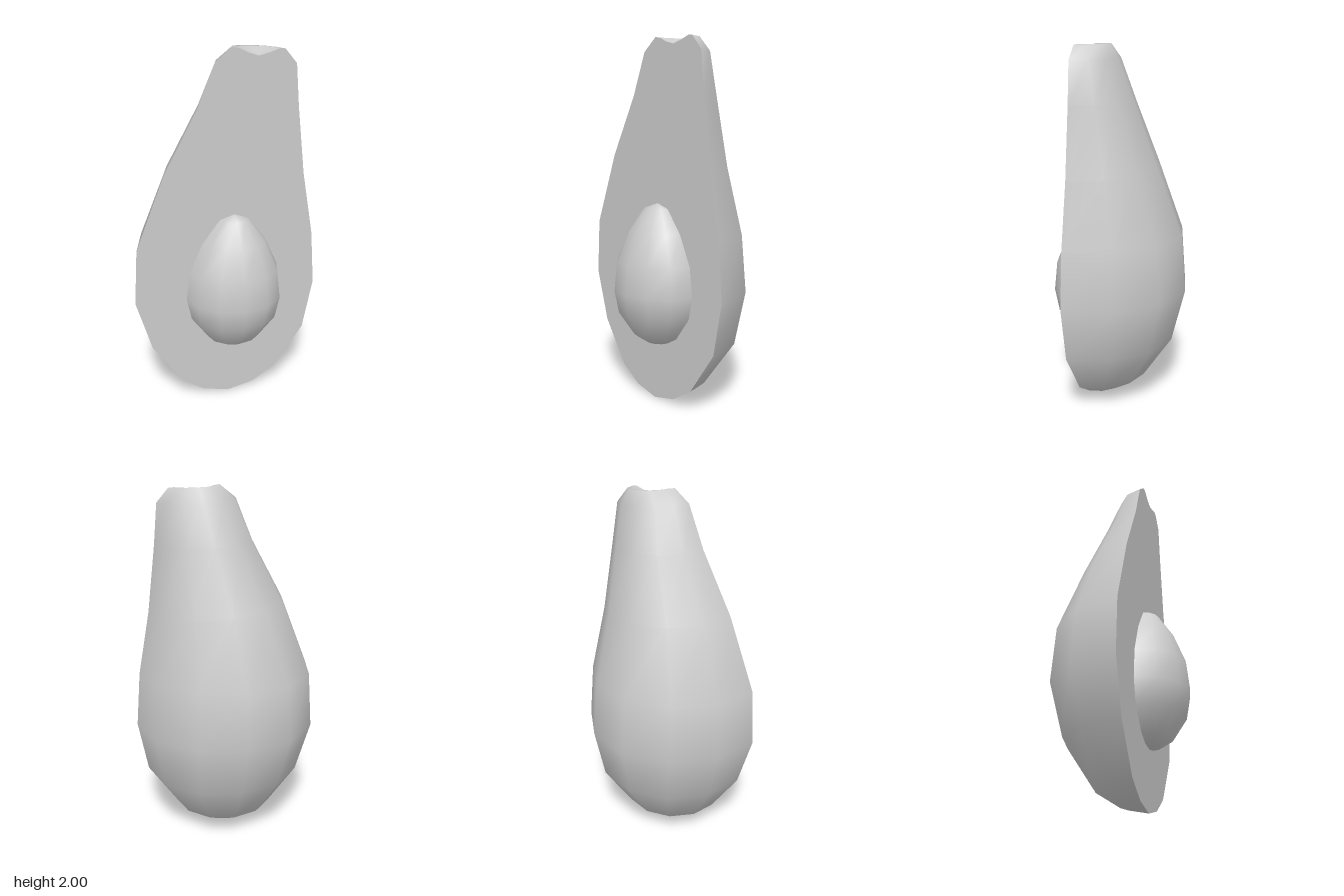
import * as THREE from 'three';
import { mergeVertices } from 'three/addons/utils/BufferGeometryUtils.js';

const CUT_Z = 0.145; // plane of the cut face
const SEGS = 6;      // half of a twelve-sided ring

// Half-round skin through rings [leftX, leftY, rightX, rightY, depth], listed along the surface from the top.
// dir is -1 to bulge backwards, +1 to bulge forwards.
function halfLoft(rings, dir) {
  const pos = [], index = [], row = SEGS + 1;
  rings.forEach(([xl, yl, xr, yr, depth], i) => {
    for (let j = 0; j <= SEGS; j++) {
      const a = (j / SEGS) * Math.PI;
      const t = (1 - dir * Math.cos(a)) / 2; // 0 at the left edge, 1 at the right
      pos.push(xl + (xr - xl) * t, yl + (yr - yl) * t, CUT_Z + dir * depth * Math.sin(a));
      if (i < rings.length - 1 && j < SEGS) {
        const p = i * row + j, q = p + row;
        index.push(p, q, p + 1, p + 1, q, q + 1);
      }
    }
  });
  const geo = new THREE.BufferGeometry();
  geo.setAttribute('position', new THREE.Float32BufferAttribute(pos, 3));
  geo.setIndex(index);
  const merged = mergeVertices(geo); // weld the poles
  merged.computeVertexNormals();
  return merged;
}

export function createModel() {
  const group = new THREE.Group();
  const material = new THREE.MeshStandardMaterial({ color: 0xcccccc });
  const add = (name, geo) => {
    const mesh = new THREE.Mesh(geo, material);
    mesh.name = name;
    group.add(mesh);
    return mesh;
  };

  // Body: stem dimple, rim, leaning neck, round belly, base
  const body = [
    [0.16, 1.955, 0.16, 1.955, 0],
    [0.10, 1.972, 0.22, 1.970, 0.06],
    [0.055, 1.995, 0.27, 1.988, 0.11],
    [0.02, 2.00, 0.30, 1.985, 0.14],
    [-0.07, 1.93, 0.365, 1.91, 0.18],
    [-0.165, 1.70, 0.385, 1.69, 0.255],
    [-0.345, 1.37, 0.43, 1.32, 0.365],
    [-0.505, 0.965, 0.495, 0.965, 0.495],
    [-0.525, 0.655, 0.52, 0.655, 0.52],
    [-0.44, 0.365, 0.465, 0.365, 0.45],
    [-0.275, 0.12, 0.295, 0.12, 0.285],
    [-0.145, 0.035, 0.16, 0.035, 0.15],
    [0.005, 0, 0.005, 0, 0],
  ];
  add('skin', halfLoft(body, -1));

  // Flat cut face bounded by both edges of the skin
  const left = body.map(([x, y]) => new THREE.Vector2(x, y));
  const right = body.slice(1, -1).map(([, , x, y]) => new THREE.Vector2(x, y)).reverse();
  add('cutFace', new THREE.ShapeGeometry(new THREE.Shape([...left, ...right]))).position.z = CUT_Z;

  // Stone: half an egg [radius, height], slightly flattened towards the front
  const stone = [
    [0, 1.12], [0.08, 1.095], [0.178, 0.967], [0.253, 0.802], [0.272, 0.64],
    [0.245, 0.515], [0.148, 0.385], [0.077, 0.345], [0, 0.333],
  ].map(([r, y]) => [0.035 - r, y, 0.035 + r, y, r * 0.85]);
  add('stone', halfLoft(stone, 1));

  return group;
}
